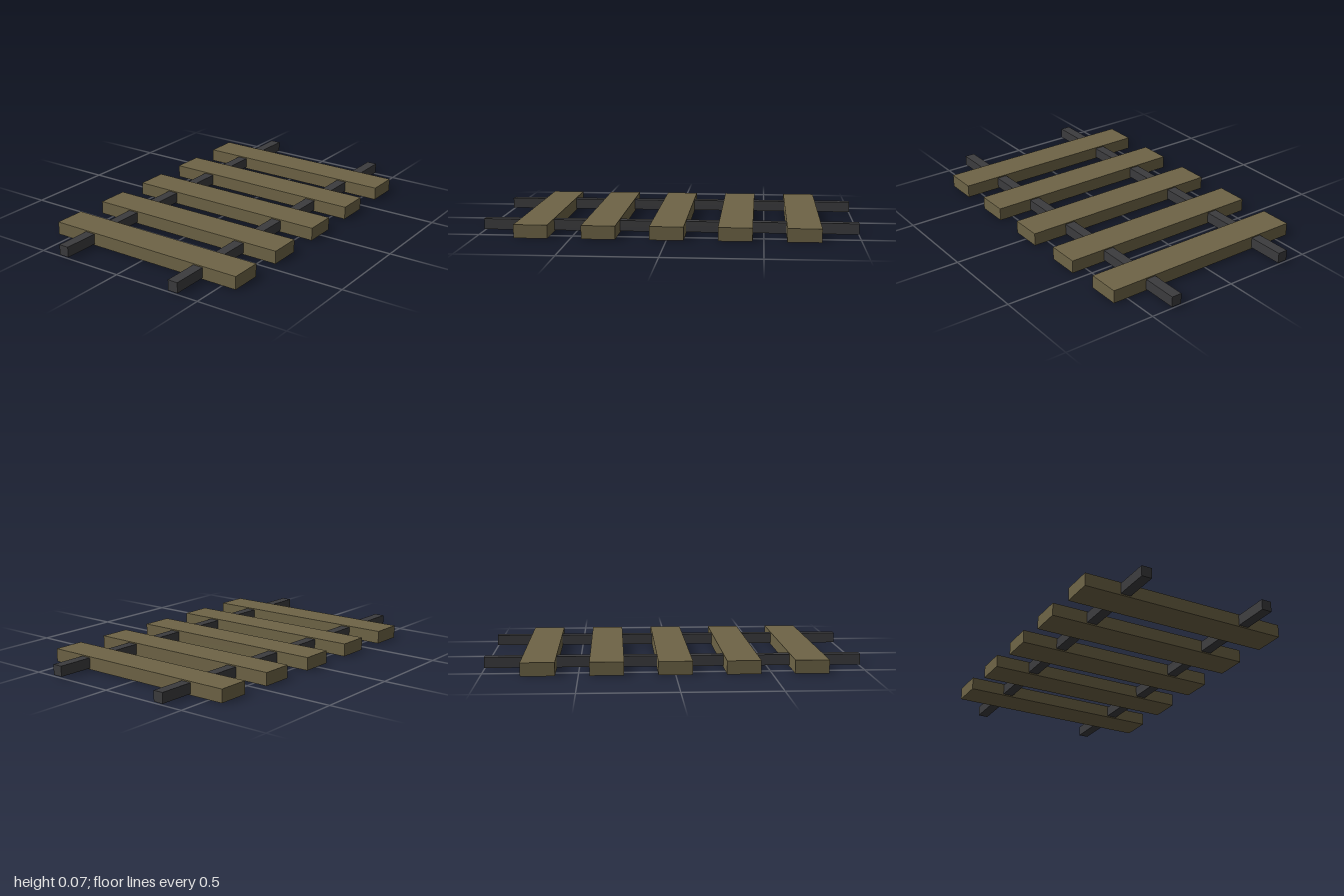
import * as THREE from 'three';

export function createModel() {
  const group = new THREE.Group();
  const wood = new THREE.MeshStandardMaterial({ color: 0x6e6446 });
  const metal = new THREE.MeshStandardMaterial({ color: 0x3c3c3e });

  const addBox = (name, size, position, material) => {
    const mesh = new THREE.Mesh(new THREE.BoxGeometry(...size), material);
    mesh.name = name;
    mesh.position.set(...position);
    group.add(mesh);
  };

  // Two long rails running front to back
  addBox('leftRail', [0.057, 0.057, 2], [0.353, 0.036, 0], metal);
  addBox('rightRail', [0.057, 0.057, 2], [-0.353, 0.036, 0], metal);

  // Five evenly spaced sleepers enclosing the rails
  for (let i = 0; i < 5; i++) {
    addBox(`sleeper${i + 1}`, [1.16, 0.071, 0.178], [0, 0.0355, (i - 2) * 0.354], wood);
  }

  return group;
}
